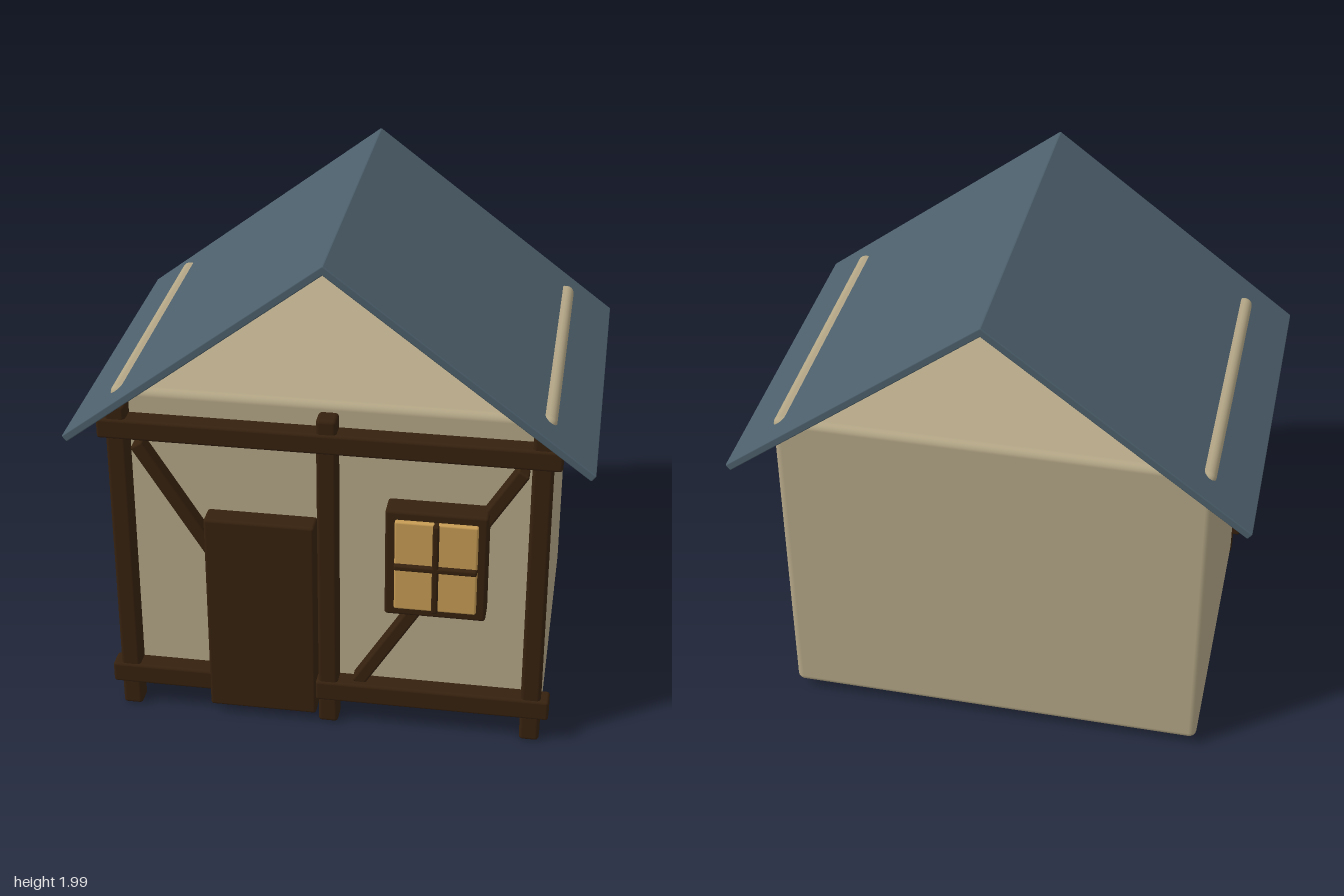
import * as THREE from 'three';
import { RoundedBoxGeometry } from 'three/addons/geometries/RoundedBoxGeometry.js';

const material = (name, color) => {
  const m = new THREE.MeshStandardMaterial({ color });
  m.name = name;
  return m;
};

export function createModel() {
  const plaster = material('plaster', 0xb3a686);
  const timber = material('dark timber', 0x36210e);
  const slate = material('slate blue roof', 0x4c5f6b);
  const glass = material('amber glass', 0xc69b54);

  const model = new THREE.Group();
  model.name = 'cottage';

  // Rounded block given by its limits on each axis
  function block(name, mat, [x0, x1], [y0, y1], [z0, z1], radius = 0.012, parent = model) {
    const mesh = new THREE.Mesh(
      new RoundedBoxGeometry(x1 - x0, y1 - y0, z1 - z0, 3, radius), mat);
    mesh.position.set((x0 + x1) / 2, (y0 + y1) / 2, (z0 + z1) / 2);
    mesh.name = name;
    parent.add(mesh);
    return mesh;
  }

  // House body; its upper edges poke through the roof
  block('walls', plaster, [-0.838, 0.838], [0.04, 1.398], [-0.622, 0.602], 0.03);

  // Roof: two thin slabs meeting at the ridge, open at the gables
  const slope = Math.atan2(0.755, 0.995);
  const length = Math.hypot(0.755, 0.995);
  const thickness = 0.03;
  for (const side of [-1, 1]) {
    const slab = new THREE.Mesh(
      new RoundedBoxGeometry(length, thickness, 1.465, 2, 0.005), slate);
    slab.name = side > 0 ? 'roofLeft' : 'roofRight';
    slab.position.set(
      side * (0.995 / 2 - Math.sin(slope) * thickness / 2),
      2 - 0.755 / 2 - Math.cos(slope) * thickness / 2, -0.005);
    slab.rotation.z = -side * slope;
    model.add(slab);
  }

  // Timber frame on the front
  const frame = new THREE.Group();
  frame.name = 'timberFrame';
  model.add(frame);
  for (const x of [-0.8, 0, 0.8])
    block('post', timber, [x - 0.039, x + 0.039], [0.003, 1.365], [0.6, 0.681], 0.015, frame);
  block('topBeam', timber, [-0.872, 0.872], [1.225, 1.308], [0.606, 0.688], 0.012, frame);
  block('lowerBeamRight', timber, [-0.872, -0.45], [0.11, 0.198], [0.606, 0.688], 0.012, frame);
  block('lowerBeamLeft', timber, [-0.05, 0.872], [0.11, 0.198], [0.606, 0.688], 0.012, frame);

  // Mirrored diagonal braces
  for (const side of [-1, 1]) {
    const brace = block('brace', timber, [-0.026, 0.026], [-0.59, 0.59], [0.59, 0.662], 0.01, frame);
    brace.position.x = side * 0.423;
    brace.position.y = 0.69;
    brace.rotation.z = -side * Math.atan2(0.61, 0.99);
  }

  // Door
  block('door', timber, [-0.475, -0.047], [0.043, 0.907], [0.6, 0.692], 0.012);

  // Window: frame, four raised panes and glazing bars
  const win = new THREE.Group();
  win.name = 'window';
  model.add(win);
  block('windowFrame', timber, [0.225, 0.612], [0.558, 1.018], [0.6, 0.702], 0.012, win);
  for (const [x0, x1] of [[0.263, 0.415], [0.425, 0.577]])
    for (const [y0, y1] of [[0.597, 0.787], [0.793, 0.983]])
      block('pane', glass, [x0, x1], [y0, y1], [0.68, 0.72], 0.008, win);
  block('verticalBar', timber, [0.408, 0.432], [0.597, 0.983], [0.69, 0.737], 0.008, win);
  block('horizontalBar', timber, [0.263, 0.577], [0.778, 0.802], [0.69, 0.737], 0.008, win);

  return model;
}
